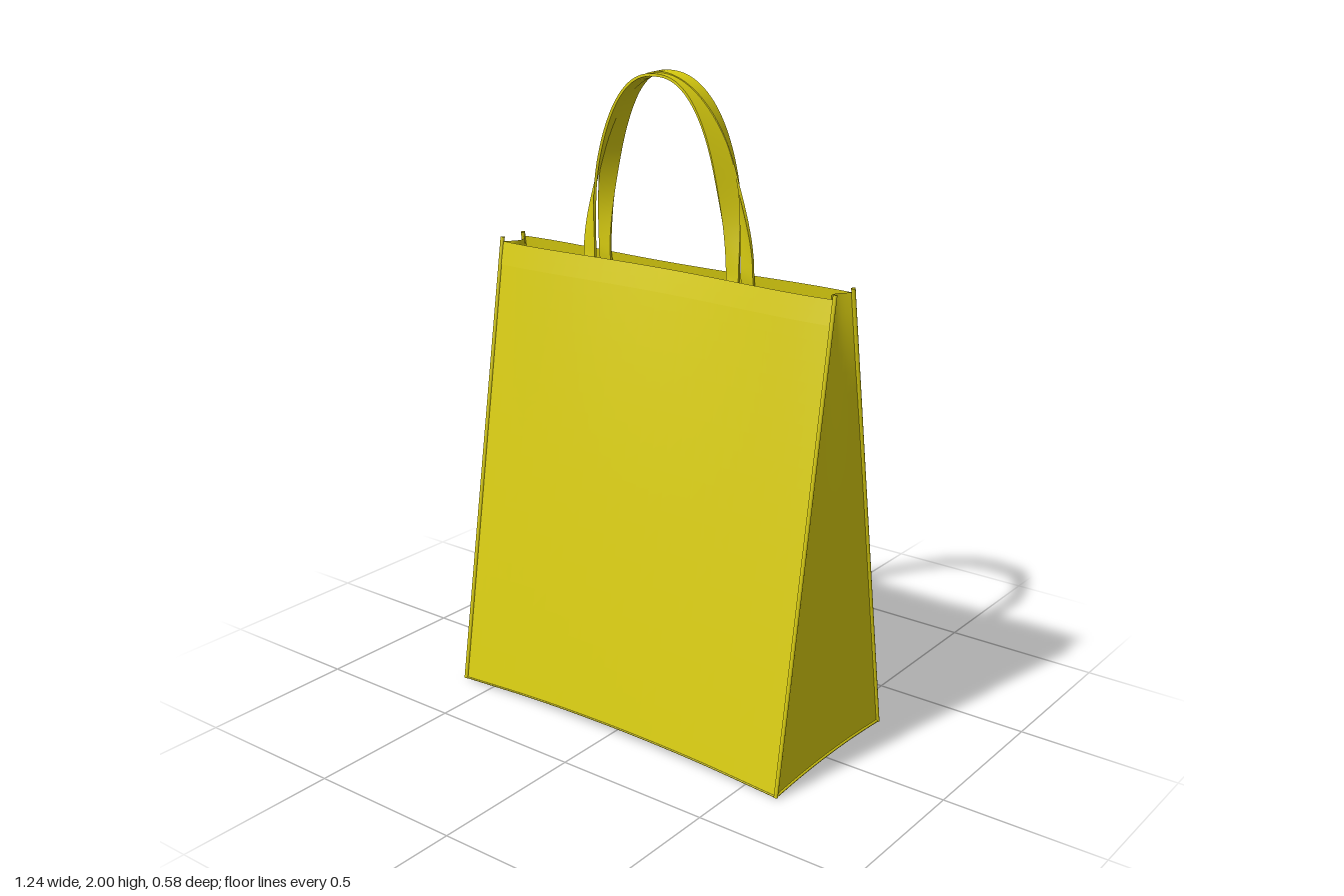
import * as THREE from 'three';

const fabric = new THREE.MeshStandardMaterial({ color: 0xd9cd10, side: THREE.DoubleSide });
fabric.name = 'yellow fabric';

const lerp = THREE.MathUtils.lerp;
const smooth = THREE.MathUtils.smoothstep;
const V = (x, y, z) => new THREE.Vector3(x, y, z);
const W = 0.612; // half width
const TOP = 1.432;

// Smooth sheet from a rule (u, v in 0..1) -> Vector3; flip reverses the facing
function sheet(name, rule, nu, nv, flip = false) {
  const geo = new THREE.PlaneGeometry(1, 1, nu, nv);
  const pos = geo.attributes.position;
  for (let i = 0; i < pos.count; i++) {
    const u = pos.getX(i) + 0.5;
    const p = rule(flip ? 1 - u : u, pos.getY(i) + 0.5);
    pos.setXYZ(i, p.x, p.y, p.z);
  }
  geo.computeVertexNormals();
  const mesh = new THREE.Mesh(geo, fabric);
  mesh.name = name;
  return mesh;
}

// Front or back panel: s is -1..1 across, v is 0..1 up; the mouth is gently wavy
function panelPoint(side, s, v, out = 0) {
  const s2 = s * s;
  const wave = -0.013 + 0.0586 * s2 - 0.0456 * s2 * s2;
  const z = lerp(0.285 - 0.006 * (1 - s2), 0.05, v) + wave * v ** 4 + out;
  return V(s * W, lerp(0.008 + 0.02 * (1 - s2), TOP, v), side * z);
}

// Side gusset, pinched inward near the mouth
function gussetPoint(side, s, v) {
  const dip = 1 - s * s;
  return V(side * (W - 0.035 * dip * v ** 4),
    lerp(0.008 + 0.012 * dip, TOP, v), s * lerp(0.285, 0.05, v));
}

function bottomPoint(s, t) {
  return V(s * W,
    0.008 + 0.02 * (1 - s * s) * t ** 4 + 0.012 * (1 - t * t) * s * s,
    t * (0.285 - 0.006 * (1 - s * s)));
}

// Narrow piping along a list of points
function piping(name, points, radius) {
  const curve = new THREE.CatmullRomCurve3(points);
  const mesh = new THREE.Mesh(new THREE.TubeGeometry(curve, 24, radius, 6), fabric);
  mesh.name = name;
  return mesh;
}

// Strap edges: flat against the panel at the ends, turning level over the crown
function strapEdges(side, t) {
  const a = lerp(-0.2, Math.PI + 0.2, t);
  const th = THREE.MathUtils.clamp(a, 0, Math.PI);
  const drop = a < 0 ? -a * 0.5 : a > Math.PI ? (a - Math.PI) * 0.5 : 0;
  const c = Math.cos(th), sn = Math.sin(th);
  const base = 0.036 + drop * 0.164;
  const lean = side < 0 ? 0.03 * sn ** 6 : 0;
  const rise = side < 0 ? 0.564 : 0.56;
  const y = TOP - drop + rise * sn;
  const turn = smooth(sn, 0, 0.55);
  return [
    V(0.286 * c, y, side * lerp(base, 0, turn) + lean),
    V(0.243 * Math.sign(c) * Math.abs(c) ** 0.85, y, side * lerp(base, side < 0 ? 0.049 : 0.056, turn) + lean),
  ];
}

// Rectangular strap section: four corners in order
function strapCorners(side, t) {
  const e = 0.002;
  const [a, b] = strapEdges(side, t);
  const [a0, b0] = strapEdges(side, t - e);
  const [a1, b1] = strapEdges(side, t + e);
  const along = a1.add(b1).sub(a0).sub(b0);
  const n = along.cross(b.clone().sub(a)).normalize().multiplyScalar(0.004);
  return [a.clone().add(n), b.clone().add(n), b.clone().sub(n), a.clone().sub(n)];
}

function makeStrap(side) {
  const strap = new THREE.Group();
  strap.name = side > 0 ? 'frontHandle' : 'backHandle';
  for (let k = 0; k < 4; k++) {
    strap.add(sheet('strapFace', (u, v) => {
      const c = strapCorners(side, u);
      return c[k].lerp(c[(k + 1) % 4], v);
    }, 72, 1));
  }
  return strap;
}

export function createModel() {
  const bag = new THREE.Group();
  bag.name = 'shoppingBag';

  for (const side of [1, -1]) {
    const face = side > 0 ? 'front' : 'back';
    const flip = side < 0;
    bag.add(sheet(face + 'Panel', (u, v) => panelPoint(side, u * 2 - 1, v), 24, 24, flip));
    // Folded hem around the mouth
    bag.add(sheet(face + 'Hem', (u, v) =>
      panelPoint(side, (u * 2 - 1) * 0.99, lerp(0.95, 1, v), 0.003 * (1 - v * 0.9)), 24, 2, flip));
    bag.add(makeStrap(side));

    bag.add(sheet(side > 0 ? 'leftGusset' : 'rightGusset',
      (u, v) => gussetPoint(side, 1 - u * 2, v), 12, 24, flip));

    // Bottom seams, long and short
    const steps = [-1, -0.5, 0, 0.5, 1];
    bag.add(piping(face + 'BottomSeam', steps.map((s) => bottomPoint(s, side)), 0.003));
    bag.add(piping('sideBottomSeam', steps.map((t) => bottomPoint(side, t)), 0.005));

    // Raised corner seams
    for (const x of [1, -1]) {
      const pts = [0, 0.33, 0.66, 1].map((v) => V(x * 0.613, lerp(0.006, 1.445, v),
        side * lerp(0.285, 0.047, v)));
      bag.add(piping(face + 'CornerSeam', pts, 0.007));
    }
  }

  bag.add(sheet('bottom', (u, v) => bottomPoint(u * 2 - 1, v * 2 - 1), 24, 16));
  return bag;
}
